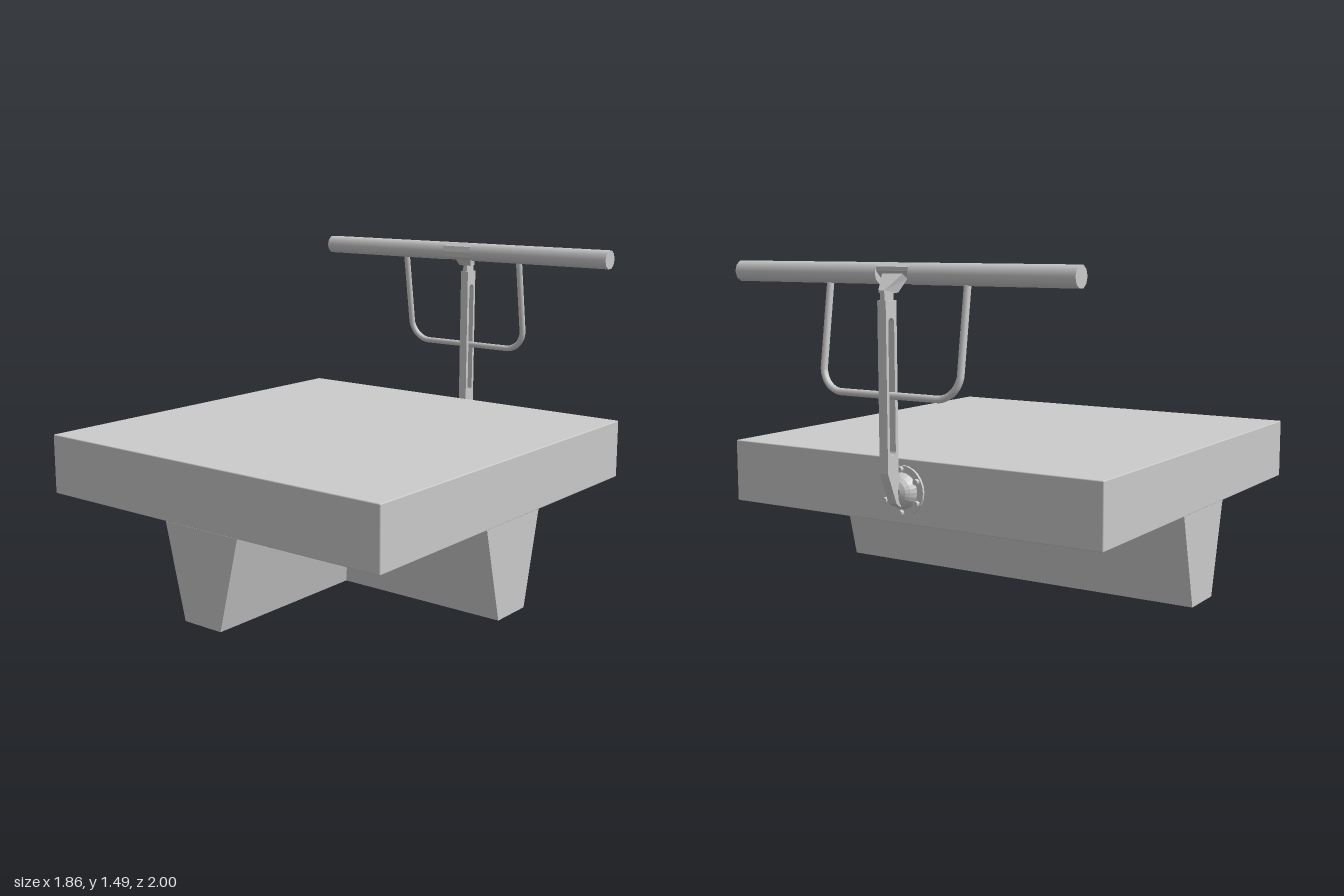
import * as THREE from 'three';
import { RoundedBoxGeometry } from 'three/addons/geometries/RoundedBoxGeometry.js';

export function createModel() {
  const model = new THREE.Group();
  const material = new THREE.MeshStandardMaterial({ color: 0xcccccc });

  function add(name, geometry, parent = model) {
    const mesh = new THREE.Mesh(geometry, material);
    mesh.name = name;
    parent.add(mesh);
    return mesh;
  }
  const outline = (pts) => new THREE.Shape(pts.map(([x, y]) => new THREE.Vector2(x, y)));

  // Extrudes a (z, y) outline along x, centred on x = 0
  function extrudeAcross(shape, width) {
    return new THREE.ExtrudeGeometry(shape, { depth: width, bevelEnabled: false, curveSegments: 8 })
      .translate(0, 0, -width / 2)
      .rotateY(-Math.PI / 2);
  }

  // Platform slab
  add('platform', new RoundedBoxGeometry(1.86, 0.275, 1.87, 1, 0.005)).position.set(0, 0.5575, 0.065);

  // Tapered ribs underneath, forming a T
  const rib = outline([[-0.103, 0], [0.103, 0], [0.207, 0.422], [-0.207, 0.422]]);
  add('crossRib', extrudeAcross(rib, 1.86)).position.z = 0.067;
  add('frontRib', new THREE.ExtrudeGeometry(rib, { depth: 0.93, bevelEnabled: false })).position.z = 0.07;

  // Round mounting flange on the rear face, its axis pointing back
  const mount = new THREE.Group();
  mount.name = 'mount';
  mount.position.set(0, 0.562, -0.868);
  mount.rotation.x = -Math.PI / 2;
  model.add(mount);
  const hubProfile = [[0.107, -0.005], [0.107, 0.013], [0.078, 0.013], [0.072, 0.026],
    [0.064, 0.04], [0.05, 0.055], [0.03, 0.064], [0, 0.067]];
  const hub = new THREE.LatheGeometry(hubProfile.map(([r, y]) => new THREE.Vector2(r, y)), 24).toNonIndexed();
  hub.computeVertexNormals();
  add('flange', hub, mount);
  for (let i = 0; i < 6; i++) {
    const a = (i + 0.5) * Math.PI / 3;
    add('flangeBolt', new THREE.CylinderGeometry(0.013, 0.013, 0.02, 6), mount)
      .position.set(Math.cos(a) * 0.091, 0.021, Math.sin(a) * 0.091);
  }

  // Upright post with a long slot and an angled foot
  const post = outline([[-0.998, 1.346], [-0.998, 0.65], [-0.944, 0.52], [-0.915, 0.5],
    [-0.905, 0.56], [-0.928, 0.65], [-0.928, 1.346]]);
  const slot = new THREE.Path();
  slot.absarc(-0.964, 1.257, 0.019, 0, Math.PI, false);
  slot.absarc(-0.964, 0.74, 0.019, Math.PI, Math.PI * 2, false);
  slot.closePath();
  post.holes.push(slot);
  add('post', extrudeAcross(post, 0.042));
  add('postNeck', new THREE.BoxGeometry(0.024, 0.045, 0.058)).position.set(0, 1.361, -0.963);

  // Bracket between post and bar, widening towards the bar
  const bracket = extrudeAcross(outline([[-0.998, 1.375], [-0.998, 1.386], [-0.925, 1.45],
    [-0.895, 1.43], [-0.9, 1.415], [-0.932, 1.375]]), 2);
  const p = bracket.attributes.position;
  for (let i = 0; i < p.count; i++) {
    const t = THREE.MathUtils.clamp((p.getZ(i) + 1) / 0.08, 0, 1);
    const half = (0.02 + 0.033 * t) * (p.getY(i) < 1.42 ? 0.7 : 1);
    p.setX(i, p.getX(i) * half);
  }
  bracket.computeVertexNormals();
  add('barBracket', bracket);

  // Top bar: two full ends and a middle piece cut away at the lower rear
  const bar = new THREE.Group();
  bar.name = 'topBar';
  bar.position.set(0, 1.45, -0.89);
  model.add(bar);
  const barPiece = (length) => new THREE.CylinderGeometry(0.046, 0.046, length, 10).rotateZ(Math.PI / 2);
  for (const side of [-1, 1]) {
    add('barEnd', barPiece(0.76), bar).position.x = side * 0.46;
  }
  const middle = barPiece(0.16).toNonIndexed();
  const m = middle.attributes.position;
  for (let i = 0; i < m.count; i++) {
    const y = m.getY(i), z = m.getZ(i);
    const excess = Math.max(0, (-y - z) * Math.SQRT1_2 - 0.018);
    m.setY(i, y + excess * Math.SQRT1_2);
    m.setZ(i, z + excess * Math.SQRT1_2);
  }
  middle.computeVertexNormals();
  add('barNotch', middle, bar);

  // U-shaped handle hanging from the bar and passing through the slot
  const w = 0.342, top = 1.44, low = 0.965, r = 0.09;
  const point = (x, y) => new THREE.Vector3(x, y, -0.892 - 0.07 * (top - y) / (top - low));
  const path = new THREE.CurvePath();
  path.add(new THREE.LineCurve3(point(-w, top), point(-w, low + r)));
  path.add(new THREE.QuadraticBezierCurve3(point(-w, low + r), point(-w + 0.015, low + 0.015), point(-w + r, low)));
  path.add(new THREE.LineCurve3(point(-w + r, low), point(w - r, low)));
  path.add(new THREE.QuadraticBezierCurve3(point(w - r, low), point(w - 0.015, low + 0.015), point(w, low + r)));
  path.add(new THREE.LineCurve3(point(w, low + r), point(w, top)));
  add('handle', new THREE.TubeGeometry(path, 100, 0.015, 10, false));

  return model;
}
